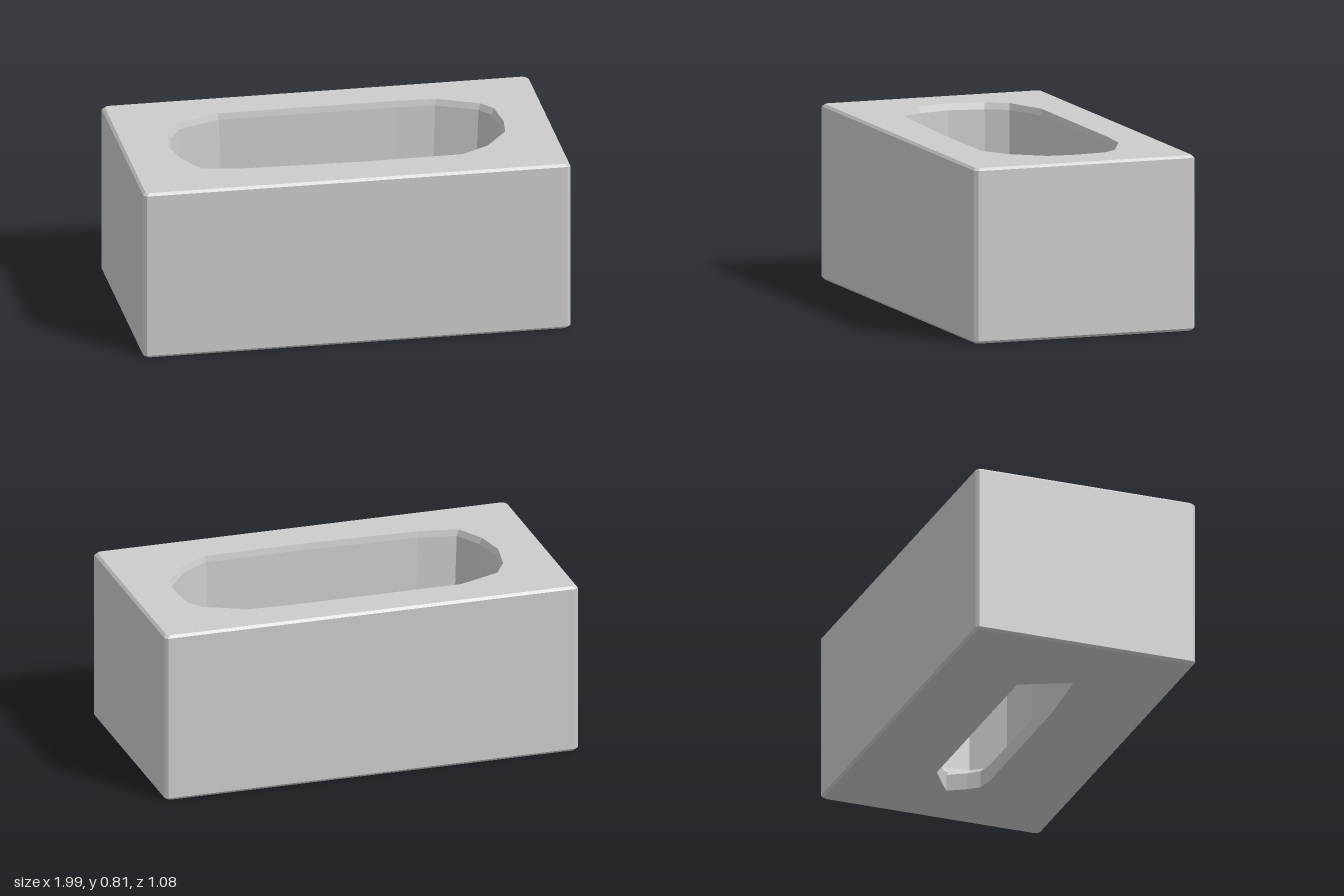
import * as THREE from 'three';

const W = 0.995, D = 0.54, H = 0.815; // half width, half depth, height
const C = 0.015;                      // corner chamfer

// Matching outlines, clockwise from above: outer x, z | basin opening x, z | floor slot x, z
const OUTLINE = [
  [-0.5, -D, -0.49, -0.35, -0.49, -0.145],
  [0.35, -D, 0.35, -0.35, 0.35, -0.145],
  [W - C, -D, 0.53, -0.34, 0.53, -0.145],
  [W, C - D, 0.72, -0.25, 0.6, -0.1],
  [W, -0.2, 0.77, -0.18, 0.66, -0.06],
  [W, 0, 0.785, -0.02, 0.7, -0.03],
  [W, 0.2, 0.77, 0.1, 0.65, 0.05],
  [W, D - C, 0.66, 0.25, 0.61, 0.1],
  [W - C, D, 0.53, 0.33, 0.53, 0.115],
  [0.05, D, 0.05, 0.335, 0.05, 0.115],
  [-0.5, D, -0.5, 0.315, -0.25, 0.115],
  [C - W, D, -0.68, 0.28, -0.6, 0.09],
  [-W, D - C, -0.75, 0.15, -0.58, 0.05],
  [-W, 0, -0.78, 0, -0.558, 0],
  [-W, C - D, -0.75, -0.17, -0.53, -0.06],
  [C - W, -D, -0.69, -0.27, -0.511, -0.1],
];

// One horizontal ring: column of the outline table, height, x and z scale
const ring = (col, y, sx = 1, sz = sx) =>
  OUTLINE.map((p) => [p[col] * sx, y, p[col + 1] * sz]);

// Flat-shaded skin through successive rings, closed back to the first
function loft(rings) {
  const pos = [];
  rings.forEach((a, k) => {
    const b = rings[(k + 1) % rings.length];
    a.forEach((p, i) => {
      const j = (i + 1) % a.length;
      pos.push(...p, ...b[i], ...a[j], ...a[j], ...b[i], ...b[j]);
    });
  });
  const geo = new THREE.BufferGeometry();
  geo.setAttribute('position', new THREE.Float32BufferAttribute(pos, 3));
  geo.computeVertexNormals();
  return geo;
}

export function createModel() {
  const group = new THREE.Group();
  group.name = 'bathtub';
  const material = new THREE.MeshStandardMaterial({ color: 0xcccccc, flatShading: true });

  const tub = new THREE.Mesh(loft([
    ring(0, 0, 0.988, 0.98),        // underside edge
    ring(0, 0.012),                 // outer walls
    ring(0, H - 0.012),
    ring(0, H, 0.988, 0.98),        // rim
    ring(2, H),
    ring(2, H - 0.03, 0.985),       // basin lip
    ring(2, 0.14, 0.95),            // basin wall foot
    ring(2, 0.1, 0.91, 0.88),       // curve into the floor
    ring(4, 0.08),                  // floor slot, through to the underside
    ring(4, 0),
  ]), material);
  tub.name = 'tubBody';
  group.add(tub);
  return group;
}
